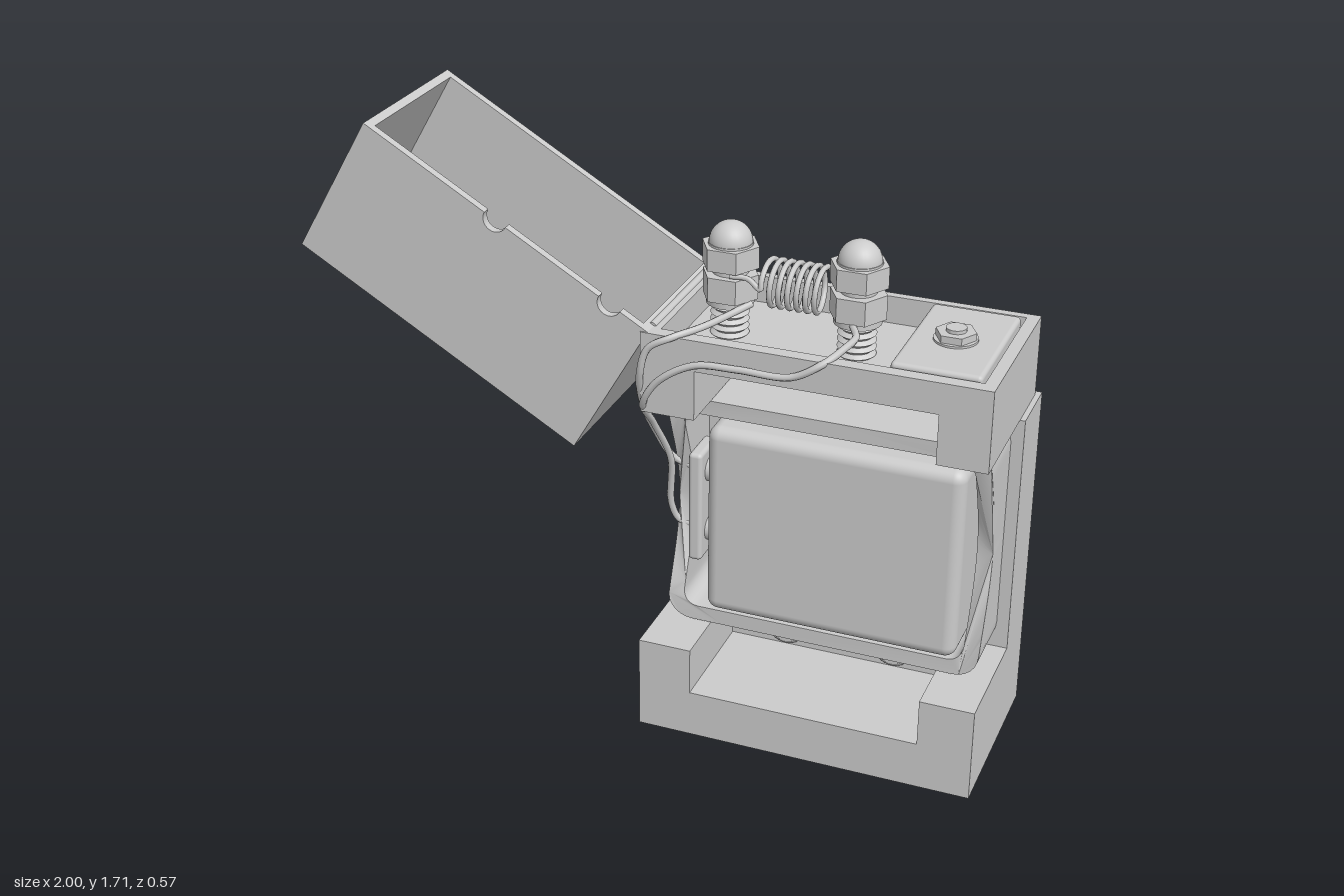
import * as THREE from 'three';
import { RoundedBoxGeometry } from 'three/addons/geometries/RoundedBoxGeometry.js';
import { toCreasedNormals } from 'three/addons/utils/BufferGeometryUtils.js';

const mat = new THREE.MeshStandardMaterial({ color: 0xcccccc });
const V = (x, y, z) => new THREE.Vector3(x, y, z);

function add(parent, name, geometry, x = 0, y = 0, z = 0) {
  const m = new THREE.Mesh(geometry, mat);
  m.name = name;
  m.position.set(x, y, z);
  parent.add(m);
  return m;
}

// Box given by its limits
function box(parent, name, x0, x1, y0, y1, z0, z1) {
  return add(parent, name, new THREE.BoxGeometry(x1 - x0, y1 - y0, z1 - z0),
    (x0 + x1) / 2, (y0 + y1) / 2, (z0 + z1) / 2);
}

const poly = pts => new THREE.Shape(pts.map(p => new THREE.Vector2(...p)));
const rectPts = (x0, x1, y0, y1) => [[x0, y0], [x1, y0], [x1, y1], [x0, y1]];

function extrude(shape, z0, z1) {
  return new THREE.ExtrudeGeometry(shape, { depth: z1 - z0, bevelEnabled: false, curveSegments: 16 }).translate(0, 0, z0);
}

// Rounded rectangle with subdivided straight sides
function roundedPts(x0, x1, y0, y1, r, n = 24) {
  const pts = [];
  const corners = [[x1 - r, y0 + r, -90], [x1 - r, y1 - r, 0], [x0 + r, y1 - r, 90], [x0 + r, y0 + r, 180]];
  corners.forEach(([cx, cy, a0], i) => {
    for (let k = 0; k <= 6; k++) {
      const a = THREE.MathUtils.degToRad(a0 + k * 15);
      pts.push([cx + r * Math.cos(a), cy + r * Math.sin(a)]);
    }
    const a = pts[pts.length - 1];
    const [nx, ny, na] = corners[(i + 1) % 4], t = THREE.MathUtils.degToRad(na);
    const b = [nx + r * Math.cos(t), ny + r * Math.sin(t)];
    for (let k = 1; k < n; k++) pts.push([a[0] + (b[0] - a[0]) * k / n, a[1] + (b[1] - a[1]) * k / n]);
  });
  return pts;
}

// Round, slightly domed rivet facing +z or -z
function rivet(parent, name, x, y, z, dir) {
  const p = [[0, 0], [0.058, 0], [0.058, 0.009], [0.048, 0.016], [0, 0.016]].map(a => new THREE.Vector2(...a));
  add(parent, name, toCreasedNormals(new THREE.LatheGeometry(p, 32), 0.5), x, y, z).rotation.x = dir * Math.PI / 2;
}

function hexNut(parent, name, r, y0, y1, x, z = 0) {
  add(parent, name, toCreasedNormals(new THREE.CylinderGeometry(r, r, y1 - y0, 6), 0.3), x, (y0 + y1) / 2, z).rotation.y = Math.PI / 2;
}

function disc(parent, name, r, y0, y1, x) {
  add(parent, name, toCreasedNormals(new THREE.CylinderGeometry(r, r, y1 - y0, 28), 0.6), x, (y0 + y1) / 2, 0);
}

function wire(parent, name, pts, r = 0.01, seg = 90) {
  add(parent, name, new THREE.TubeGeometry(new THREE.CatmullRomCurve3(pts), seg, r, 8));
}

// Threaded post with two nuts and a dome cap
function electrode(parent, x) {
  const g = new THREE.Group();
  g.name = 'electrode';
  parent.add(g);
  const profile = [[0, 1.15]];
  for (let i = 0; i < 6; i++) profile.push([0.042, 1.15 + i * 0.02], [0.054, 1.16 + i * 0.02]);
  profile.push([0, 1.27]);
  add(g, 'threadedPost', toCreasedNormals(new THREE.LatheGeometry(profile.map(p => new THREE.Vector2(...p)), 24), 0.5), x);
  disc(g, 'lowerWasher', 0.066, 1.25, 1.268, x);
  hexNut(g, 'lowerNut', 0.08, 1.268, 1.338, x);
  disc(g, 'postCore', 0.05, 1.338, 1.36, x);
  hexNut(g, 'capNut', 0.082, 1.358, 1.42, x);
  disc(g, 'capCollar', 0.062, 1.42, 1.426, x);
  add(g, 'domeCap', new THREE.SphereGeometry(0.06, 28, 12, 0, Math.PI * 2, 0, Math.PI / 2), x, 1.424, 0);
}

export function createModel() {
  const root = new THREE.Group();

  // Lower case: back plate and notched foot
  box(root, 'backPlate', 0.02, 1, 0, 1, -0.27, -0.08);
  add(root, 'foot', extrude(poly([[0.02, 0], [1, 0], [1, 0.28], [0.845, 0.28], [0.845, 0.14],
    [0.175, 0.14], [0.175, 0.28], [0.02, 0.28]]), -0.08, 0.27));

  // Upper block: back, notched front and hollow rim
  box(root, 'upperBack', 0.02, 0.985, 1, 1.155, -0.25, -0.08);
  add(root, 'upperFront', extrude(poly([[0.02, 1], [0.175, 1], [0.175, 1.145], [0.845, 1.145],
    [0.845, 1], [0.985, 1], [0.985, 1.155], [0.02, 1.155]]), -0.08, 0.25));
  const rim = poly(rectPts(0.02, 0.985, -0.25, 0.25));
  rim.holes.push(poly(rectPts(0.065, 0.95, -0.21, 0.225)));
  add(root, 'upperRim', extrude(rim, 0, 0.08).rotateX(-Math.PI / 2), 0, 1.155, 0);

  // Top switch plate and its bolt
  add(root, 'topPlate', new RoundedBoxGeometry(0.245, 0.1, 0.41, 3, 0.012), 0.8175, 1.194, -0.005);
  disc(root, 'topWasher', 0.06, 1.243, 1.25, 0.815);
  hexNut(root, 'topNut', 0.056, 1.25, 1.27, 0.815);
  disc(root, 'topBolt', 0.028, 1.27, 1.28, 0.815);

  // Rivets
  for (const y of [0.205, 1.075]) for (const x of [0.345, 0.67]) rivet(root, 'frontRivet', x, y, -0.08, 1);
  for (const y of [0.25, 0.735]) for (const x of [0.137, 0.872]) rivet(root, 'backRivet', x, y, -0.27, -1);

  // Cradle ring whose front edge dips along its sides
  const ring = poly(roundedPts(0.05, 0.965, 0.29, 0.998, 0.07));
  ring.holes.push(poly(roundedPts(0.095, 0.92, 0.335, 0.953, 0.045)));
  const ringGeo = extrude(ring, -0.08, 0.12);
  const pos = ringGeo.attributes.position;
  for (let i = 0; i < pos.count; i++) {
    const t = (pos.getY(i) - 0.645) / 0.3;
    if (pos.getZ(i) > 0 && Math.abs(t) < 1) pos.setZ(i, 0.12 - 0.085 * Math.pow(Math.cos(t * Math.PI / 2), 1.2));
  }
  ringGeo.computeVertexNormals();
  add(root, 'cradleRing', toCreasedNormals(ringGeo, 0.6));

  // Battery pack with terminals
  add(root, 'batteryPack', new RoundedBoxGeometry(0.73, 0.58, 0.25, 5, 0.035), 0.54, 0.645, 0.035);
  add(root, 'terminalBar', new RoundedBoxGeometry(0.04, 0.34, 0.13, 3, 0.012), 0.122, 0.645, 0.04);
  for (const y of [0.555, 0.745])
    add(root, 'terminalPin', new THREE.CylinderGeometry(0.036, 0.036, 0.06, 20), 0.16, y, 0.04).rotation.z = Math.PI / 2;

  // Electrodes and heating coil
  const posts = [0.182, 0.545];
  posts.forEach(x => electrode(root, x));
  const coil = [V(0.2, 1.347, 0.055), V(0.25, 1.345, 0.05)];
  const turns = 6.5;
  for (let i = 0; i <= turns * 16; i++) {
    const a = i / 16 * Math.PI * 2;
    coil.push(V(0.29 + 0.165 * i / (turns * 16), 1.325 + 0.063 * Math.sin(a), 0.063 * Math.cos(a)));
  }
  coil.push(V(0.49, 1.345, -0.05), V(0.53, 1.347, -0.055));
  wire(root, 'heatingCoil', coil, 0.008, 420);

  // Leads from the electrodes to the terminals
  wire(root, 'shortLead', [V(0.25, 1.26, 0.02), V(0.215, 1.25, 0.08), V(0.17, 1.245, 0.18), V(0.11, 1.235, 0.255),
    V(0.05, 1.2, 0.268), V(0.025, 1.12, 0.265), V(0.012, 1.02, 0.22), V(0.01, 0.88, 0.12), V(0.045, 0.77, 0.06), V(0.11, 0.74, 0.04)]);
  wire(root, 'longLead', [V(0.55, 1.262, 0.06), V(0.575, 1.255, 0.11), V(0.565, 1.25, 0.18), V(0.53, 1.23, 0.25),
    V(0.45, 1.185, 0.264), V(0.3, 1.18, 0.264), V(0.18, 1.17, 0.264), V(0.08, 1.11, 0.268), V(0.03, 1.03, 0.255),
    V(0.025, 0.93, 0.17), V(0.045, 0.78, 0.09), V(0.035, 0.62, 0.06), V(0.055, 0.565, 0.045), V(0.11, 0.555, 0.04)]);

  // Hinged lid, swung open, with two half-round cuts in its front edge
  const lid = new THREE.Group();
  lid.name = 'lid';
  lid.position.set(0.04, 1.235, 0);
  lid.rotation.z = -Math.PI / 6;
  root.add(lid);
  const L = 0.95, H = 0.443, T = 0.025;
  const wall = new THREE.Shape();
  wall.moveTo(-L, 0);
  wall.lineTo(-L, -H);
  wall.lineTo(0, -H);
  wall.lineTo(0, 0);
  for (const c of [-0.127, -0.508]) {
    wall.lineTo(c + 0.035, 0);
    wall.absarc(c, 0, 0.035, 0, Math.PI, true);
  }
  add(lid, 'lidFront', extrude(wall, 0.245 - T, 0.245));
  box(lid, 'lidBack', -L, 0, -H, 0, -0.25, -0.25 + T);
  box(lid, 'lidTop', -L, 0, -H, -H + T, -0.225, 0.22);
  box(lid, 'lidFarEnd', -L, -L + T, -H + T, 0, -0.225, 0.22);
  box(lid, 'lidHingeEnd', -T, 0, -H + T, 0, -0.225, 0.22);
  add(root, 'hingePin', new THREE.CylinderGeometry(0.012, 0.012, 0.42, 16), 0.035, 1.232, -0.01).rotation.x = Math.PI / 2;

  return root;
}
